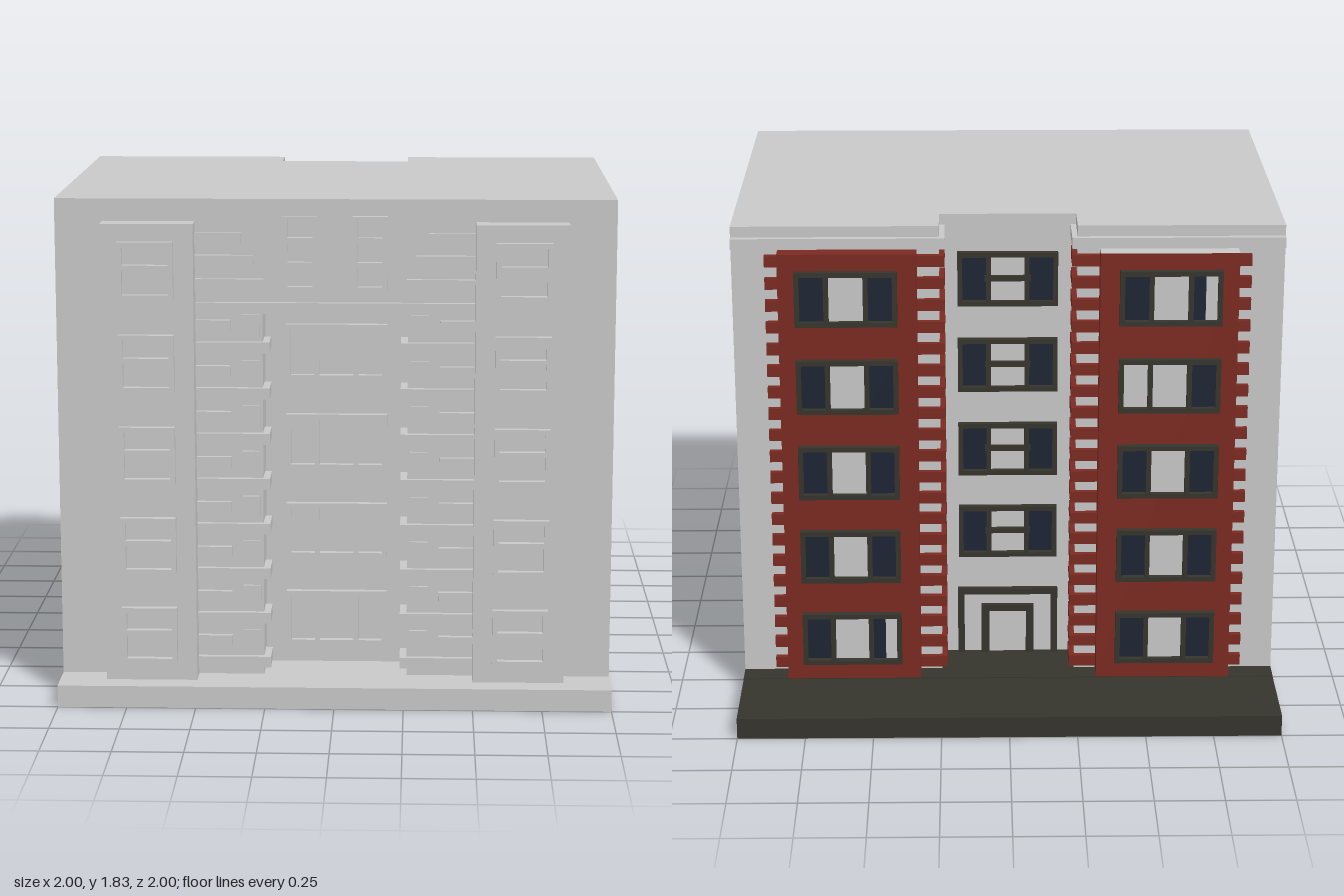
import * as THREE from 'three';

const mat = (name, color) => new THREE.MeshStandardMaterial({ name, color });

export function createModel() {
  const model = new THREE.Group();
  model.name = 'apartmentBuilding';
  const plaster = mat('plasterGrey', 0xc8c8c8);
  const brick = mat('brickRed', 0x7b2a21);
  const dark = mat('darkTrim', 0x35342c);
  const navy = mat('navyGlass', 0x1c2433);

  // Box given by its limits on each axis
  function box(name, x0, x1, y0, y1, z0, z1, material, parent = model) {
    const [xa, xb] = [Math.min(x0, x1), Math.max(x0, x1)];
    const mesh = new THREE.Mesh(new THREE.BoxGeometry(xb - xa, y1 - y0, z1 - z0), material);
    mesh.position.set((xa + xb) / 2, (y0 + y1) / 2, (z0 + z1) / 2);
    mesh.name = name;
    parent.add(mesh);
    return mesh;
  }

  // Floor plan of [x, z] points raised from y0 to y1
  function plan(name, points, y0, y1) {
    const shape = new THREE.Shape(points.map(([x, z]) => new THREE.Vector2(x, -z)));
    const geo = new THREE.ExtrudeGeometry(shape, { depth: y1 - y0, bevelEnabled: false });
    geo.rotateX(-Math.PI / 2);
    const mesh = new THREE.Mesh(geo, plaster);
    mesh.position.y = y0;
    mesh.name = name;
    model.add(mesh);
  }

  // Frame with rectangular holes, [x0, x1, y0, y1] from its lower left corner
  function frame(name, w, h, depth, holes, material) {
    const rect = (T, a, b, c, d) => new T().moveTo(a, c).lineTo(b, c).lineTo(b, d).lineTo(a, d).closePath();
    const shape = rect(THREE.Shape, 0, w, 0, h);
    holes.forEach(q => shape.holes.push(rect(THREE.Path, ...q)));
    const mesh = new THREE.Mesh(new THREE.ExtrudeGeometry(shape, { depth, bevelEnabled: false }), material);
    mesh.name = name;
    return mesh;
  }
  function place(mesh, x, y, z) {
    mesh.position.set(x, y, z);
    model.add(mesh);
  }

  const floorY = i => 0.15 + i / 3;
  const W = 0.37, H = 0.205;
  const threePanes = [[0.018, 0.105, 0.018, 0.187], [0.123, 0.247, 0.018, 0.187], [0.265, 0.352, 0.018, 0.187]];

  // Base slabs and dark paving at the back
  box('baseSlab', -1, 1, 0, 0.08, -0.665, 1, plaster);
  box('backTerrace', -1, 1, 0, 0.08, -1, -0.665, [dark, dark, dark, plaster, dark, dark]);
  box('entrancePaving', -1, 1, 0.078, 0.083, -0.665, -0.41, dark);

  // Main block: notch at the back, covered recess at the front
  const back = [[1, -0.58], [0.25, -0.58], [0.25, -0.42], [-0.25, -0.42], [-0.25, -0.58], [-1, -0.58]];
  const recess = [[-0.26, 0.83], [-0.26, 0.66], [0.26, 0.66], [0.26, 0.83]];
  plan('lowerBlock', [...back, [-1, 0.83], ...recess, [1, 0.83]], 0.08, 1.42);
  plan('upperBlock', [...back, [-1, 0.83], [1, 0.83]], 1.42, 1.83);

  // Cornice ledge at the back
  for (const s of [-1, 1]) {
    plan('corniceLedge', [[s, -0.603], [s * 0.23, -0.603], [s * 0.23, -0.42], [s * 0.27, -0.42],
      [s * 0.27, -0.57], [s, -0.57]], 1.75, 1.79);
  }

  // Front bays with two-pane windows
  for (const s of [-1, 1]) {
    box('frontBay', s * 0.5, s * 0.83, 0.08, 1.75, 0.82, 0.915, plaster);
    for (let i = 0; i < 5; i++) {
      const f = frame('frontBayWindow', 0.2, H, 0.025,
        [[0.018, 0.182, 0.016, 0.105], [0.018, 0.182, 0.122, 0.187]], plaster);
      place(f, s * 0.67 - 0.1, floorY(i), 0.915);
    }
    // Tall attic window with three panes
    place(frame('atticWindow', 0.125, 0.27, 0.02,
      [0.018, 0.106, 0.194].map(y => [0.018, 0.107, y, y + 0.07]), plaster), s * 0.125 - 0.0625, 1.5, 0.83);
  }

  // Wide windows in the front recess
  for (let i = 0; i < 4; i++) {
    place(frame('recessWindow', W, H, 0.025, threePanes, plaster), -W / 2, floorY(i), 0.66);
  }

  // Front brick courses, wrapping the corners of the recess
  box('lintelBand', -0.5, 0.5, 1.42, 1.46, 0.82, 0.85, plaster);
  for (const s of [-1, 1]) {
    [[1.505, 0.255], [1.59, 0.29], [1.67, 0.335]].forEach(([y, x]) =>
      box('steppedCourse', s * 0.5, s * x, y, y + 0.04, 0.82, 0.85, plaster));
    for (let k = 0; k < 8; k++) {
      const y = 0.11 + k / 6;
      box('longCourse', s * 0.5, s * 0.235, y, y + 0.04, 0.72, 0.85, plaster);
      box('shortCourse', s * 0.5, s * 0.375, y + 0.08, y + 0.12, 0.82, 0.85, plaster);
      box('cornerBlock', s * 0.335, s * 0.27, y + 0.055, y + 0.14, 0.82, 0.84, plaster);
    }
  }

  // Back windows: left and right as seen from behind
  function backWindow(name, x, y, z, colors, halfRight = false) {
    const g = new THREE.Group();
    g.name = name;
    g.add(Object.assign(frame('frame', W, H, 0.025, threePanes, dark)));
    threePanes.forEach((p, i) => box('pane', ...p, -0.003, 0.004, colors[i], g));
    if (halfRight) box('curtain', 0.31, 0.352, 0.018, 0.187, 0, 0.007, plaster, g);
    g.rotation.y = Math.PI;
    g.position.set(x + W / 2, y, z);
    model.add(g);
    return g;
  }

  // Back brick panels, windows and quoins
  for (const s of [-1, 1]) {
    const top = s < 0 ? plaster : brick;
    box('brickPanel', s * 0.33, s * 0.83, 0.08, 1.75, -0.665, -0.57, [brick, brick, top, brick, brick, brick]);
    for (let i = 0; i < 5; i++) {
      const left = s < 0 && i === 3 ? plaster : navy;
      const half = (s < 0 && i === 4) || (s > 0 && i === 0);
      backWindow('panelWindow', s * 0.585, floorY(i), -0.665, [left, plaster, navy], half);
    }
    for (let k = 0; k < 20; k++) {
      const y = 0.1 + k / 12;
      box('outerQuoin', s * 0.82, s * 0.88, y, y + 0.042, -0.602, -0.57, brick);
      box('cornerQuoin', s * 0.23, s * 0.34, y, y + 0.042, -0.602, -0.47, brick);
    }
  }

  // Stair windows in the back notch
  for (let i = 1; i < 5; i++) {
    const g = backWindow('stairWindow', 0, floorY(i), -0.42, [navy, plaster, navy]);
    box('crossbar', 0.1, 0.27, 0.095, 0.115, 0, 0.02, dark, g);
  }

  // Entrance: outer surround, inner door frame and door
  for (const s of [-1, 1]) {
    box('surroundPost', s * 0.165, s * 0.19, 0.08, 0.35, -0.44, -0.41, dark);
    box('doorPost', s * 0.07, s * 0.1, 0.08, 0.28, -0.44, -0.41, dark);
  }
  box('surroundTop', -0.19, 0.19, 0.325, 0.35, -0.44, -0.41, dark);
  box('doorTop', -0.1, 0.1, 0.255, 0.28, -0.44, -0.41, dark);
  box('doorLeaf', -0.07, 0.07, 0.083, 0.255, -0.425, -0.41, plaster);
  return model;
}
